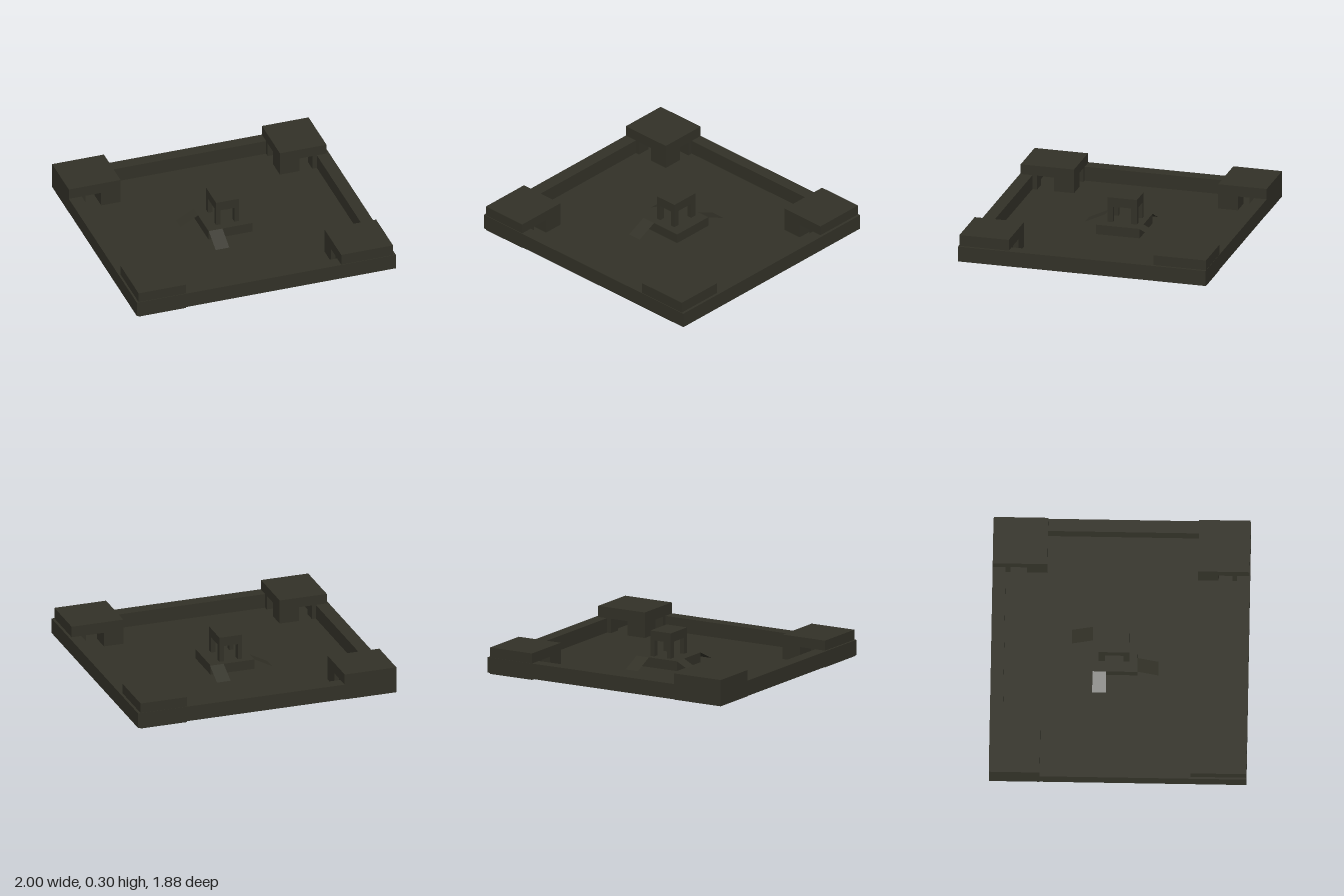
import * as THREE from 'three';

export function createModel() {
  const model = new THREE.Group();
  model.name = 'walledCourtyard';
  const stone = new THREE.MeshStandardMaterial({ color: 0x323127 });
  stone.name = 'darkStone';
  const stoneSheet = new THREE.MeshStandardMaterial({ color: 0x323127, side: THREE.DoubleSide });
  stoneSheet.name = 'darkStone';

  // Box given by its limits on each axis
  function block(parent, name, x0, x1, y0, y1, z0, z1) {
    const mesh = new THREE.Mesh(new THREE.BoxGeometry(x1 - x0, y1 - y0, z1 - z0), stone);
    mesh.position.set((x0 + x1) / 2, (y0 + y1) / 2, (z0 + z1) / 2);
    mesh.name = name;
    parent.add(mesh);
  }
  function group(name) {
    const g = new THREE.Group();
    g.name = name;
    model.add(g);
    return g;
  }

  // Courtyard floor and outer walls
  block(model, 'floor', -0.99, 0.99, 0.03, 0.037, -0.93, 0.93);
  block(model, 'leftWall', 0.905, 1, 0.03, 0.145, -0.94, 0.94);
  block(model, 'rightWall', -1, -0.9, 0.03, 0.145, -0.94, 0.94);
  block(model, 'frontWall', -0.9, 0.905, 0.03, 0.145, 0.845, 0.94);
  block(model, 'backWall', -0.9, 0.905, 0.03, 0.145, -0.94, -0.845);

  // Corner towers: [name, x side, z side, inner x, outer x, inner z, outer z, base y, top y]
  const towers = [
    ['backRightTower', -1, -1, 0.6, 1, 0.57, 0.94, 0.028, 0.225],
    ['backLeftTower', 1, -1, 0.62, 0.98, 0.54, 0.938, 0.022, 0.22],
    ['frontRightTower', -1, 1, 0.62, 0.985, 0.53, 0.935, 0.02, 0.22],
    ['frontLeftTower', 1, 1, 0.58, 0.98, 0.56, 0.935, 0.028, 0.228],
  ];
  for (const [name, sx, sz, xi, xo, zi, zo, y0, y1] of towers) {
    const tower = group(name);
    const add = (part, xa, xb, ya, yb, za, zb) => block(tower, part,
      Math.min(sx * xa, sx * xb), Math.max(sx * xa, sx * xb), ya, yb,
      Math.min(sz * za, sz * zb), Math.max(sz * za, sz * zb));
    add('roof', xi, xo, 0.145, y1, zi, zo);
    add('base', xi, xo, y0, 0.036, zi, zo);
    add('innerPillar', xi, xi + 0.15, 0.036, 0.145, zi, zi + 0.15);
    add('sidePillar', 0.87, 0.91, 0.036, 0.145, zi, zi + 0.1);
    add('endPillar', xi, xi + 0.1, 0.036, 0.145, 0.81, 0.85);
  }

  // Central platform
  block(model, 'platform', -0.165, 0.175, 0.013, 0.11, -0.2, 0.13);

  // Pavilion: roof on four posts
  const pavilion = group('pavilion');
  block(pavilion, 'pavilionRoof', -0.085, 0.09, 0.23, 0.3, -0.155, 0.07);
  for (const [x0, x1] of [[-0.085, -0.052], [0.056, 0.09]]) {
    for (const [z0, z1] of [[-0.155, -0.108], [0.028, 0.07]]) {
      block(pavilion, 'pavilionPost', x0, x1, 0.11, 0.23, z0, z1);
    }
  }

  // Thin ramps: top edge midpoint, foot edge midpoint, width direction
  function ramp(name, top, foot, wide) {
    const [a, b, w] = [top, foot, wide].map((p) => new THREE.Vector3(...p));
    const points = [a.clone().add(w), a.clone().sub(w), b.clone().add(w), b.clone().sub(w)];
    const geometry = new THREE.BufferGeometry().setFromPoints(points);
    geometry.setIndex([0, 1, 2, 2, 1, 3]);
    geometry.computeVertexNormals();
    const mesh = new THREE.Mesh(geometry, stoneSheet);
    mesh.name = name;
    model.add(mesh);
  }
  ramp('frontRamp', [-0.11, 0.11, 0.13], [-0.11, 0.005, 0.35], [-0.053, 0, 0]);
  ramp('backRamp', [0.127, 0.11, -0.2], [0.127, 0.01, -0.41], [0.053, 0, 0]);
  ramp('sideRamp', [-0.165, 0.11, -0.148], [-0.372, 0, -0.148], [0, 0, -0.05]);

  return model;
}
